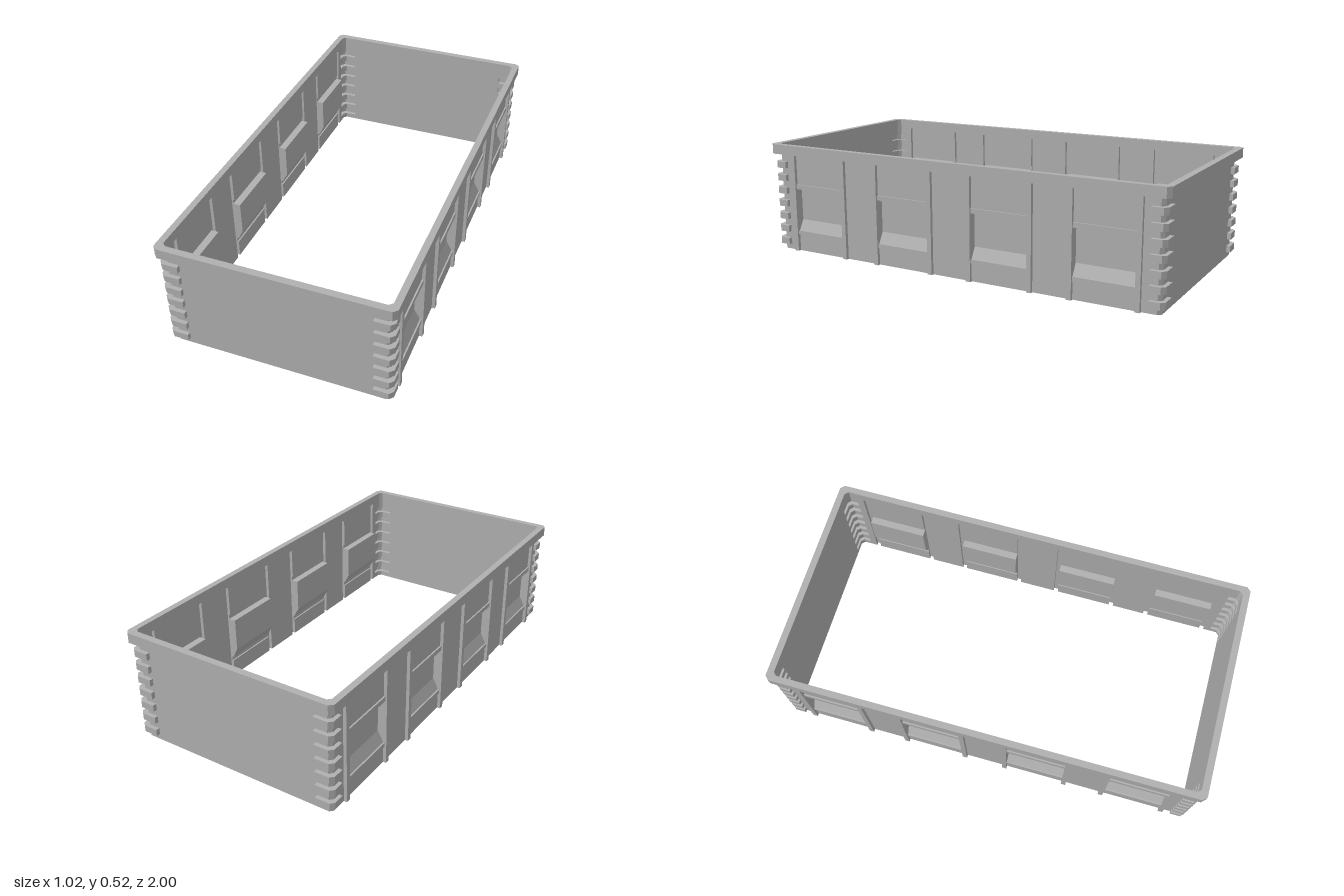
import * as THREE from 'three';

const TOP = 0.471, WX = 0.483, WZ = 0.969; // wall top and wall planes

// collects quads into one sheet-metal style geometry
function sheet(build) {
  const pos = [];
  build((a, b, c, d) => pos.push(...a, ...b, ...c, ...a, ...c, ...d));
  const g = new THREE.BufferGeometry();
  g.setAttribute('position', new THREE.Float32BufferAttribute(pos, 3));
  g.computeVertexNormals();
  return g;
}

// rectangle with cut corners
function cutRect(path, x, z, c) {
  const pts = [[x, z - c], [x - c, z], [-x + c, z], [-x, z - c], [-x, -z + c], [-x + c, -z], [x - c, -z], [x, -z + c]];
  path.setFromPoints(pts.map(p => new THREE.Vector2(...p)));
  return path;
}

// pressed side wall: posts, cross bars and sunken pockets with sloped sills
function sideWall(s) {
  const post = 0.498, bar = 0.49, deep = 0.456;
  const rows = [0, 0.08, 0.1, 0.15, 0.305, 0.327, TOP];
  const flat = x => rows.slice(1).map(() => [x, x]);
  const panel = [[WX, WX], [bar, bar], [WX, deep], [deep, deep], [bar, bar], [WX, WX]];
  const cols = [];
  let z = -0.92;
  const add = (end, profile) => { cols.push({ z0: z, z1: end, profile }); z = end; };
  for (const c of [-0.728, -0.248, 0.248, 0.728]) {
    add(c - 0.159, flat(WX));
    add(c - 0.137, flat(post));
    add(c + 0.137, panel);
    add(c + 0.159, flat(post));
  }
  add(0.92, flat(WX));
  return sheet(quad => cols.forEach(({ z0, z1, profile }, i) => profile.forEach(([b, t], j) => {
    const y0 = rows[j], y1 = rows[j + 1];
    quad([s * b, y0, z0], [s * t, y1, z0], [s * t, y1, z1], [s * b, y0, z1]);
    // step to the row above
    const up = profile[j + 1];
    if (up && up[0] !== t) quad([s * t, y1, z0], [s * up[0], y1, z0], [s * up[0], y1, z1], [s * t, y1, z1]);
    // step to the next column
    const next = cols[i + 1] && cols[i + 1].profile[j];
    if (next) quad([s * b, y0, z1], [s * t, y1, z1], [s * next[1], y1, z1], [s * next[0], y0, z1]);
  })));
}

// corner with seven ribs wrapped around the cut edge
function corner(sx, sz) {
  const c = 0.015;
  const base = [[0.415, WZ], [0.415, WZ], [WX - c, WZ], [WX, WZ - c], [WX, 0.92], [WX, 0.92]];
  const rib = [[0.415, WZ], [0.415, 0.987], [0.483, 0.987], [0.5, 0.97], [0.5, 0.92], [WX, 0.92]];
  const P = ([x, z], y) => [sx * x, y, sz * z];
  return sheet(quad => {
    const band = (path, y0, y1) => {
      for (let i = 0; i < 5; i++) quad(P(path[i], y0), P(path[i + 1], y0), P(path[i + 1], y1), P(path[i], y1));
    };
    const cap = y => {
      for (let i = 0; i < 5; i++) quad(P(base[i], y), P(base[i + 1], y), P(rib[i + 1], y), P(rib[i], y));
    };
    let y = 0;
    for (let k = 0; k < 7; k++) {
      const y0 = 0.026 + k * 0.0627, y1 = y0 + 0.031;
      band(base, y, y0);
      cap(y0);
      band(rib, y0, y1);
      cap(y1);
      y = y1;
    }
    band(base, y, TOP);
  });
}

export function createModel() {
  const group = new THREE.Group();
  const grey = new THREE.MeshStandardMaterial({ color: 0xb0b0b0, side: THREE.DoubleSide });
  grey.name = 'grey';
  const add = (name, geometry) => {
    const m = new THREE.Mesh(geometry, grey);
    m.name = name;
    group.add(m);
    return m;
  };

  // top rim
  const shape = cutRect(new THREE.Shape(), 0.512, 1, 0.018);
  shape.holes.push(cutRect(new THREE.Path(), WX, WZ, 0.015));
  const rim = new THREE.ExtrudeGeometry(shape, { depth: 0.517 - TOP, bevelEnabled: false });
  rim.rotateX(-Math.PI / 2).translate(0, TOP, 0);
  add('rim', rim);

  // plain end walls
  for (const [name, s] of [['frontWall', 1], ['backWall', -1]]) {
    const g = new THREE.PlaneGeometry(0.83, TOP);
    if (s < 0) g.rotateY(Math.PI);
    add(name, g.translate(0, TOP / 2, s * WZ));
  }

  // panelled side walls and ribbed corners
  for (const [side, sx] of [['left', 1], ['right', -1]]) {
    add(side + 'Wall', sideWall(sx));
    add(side + 'FrontCorner', corner(sx, 1));
    add(side + 'BackCorner', corner(sx, -1));
  }
  return group;
}
